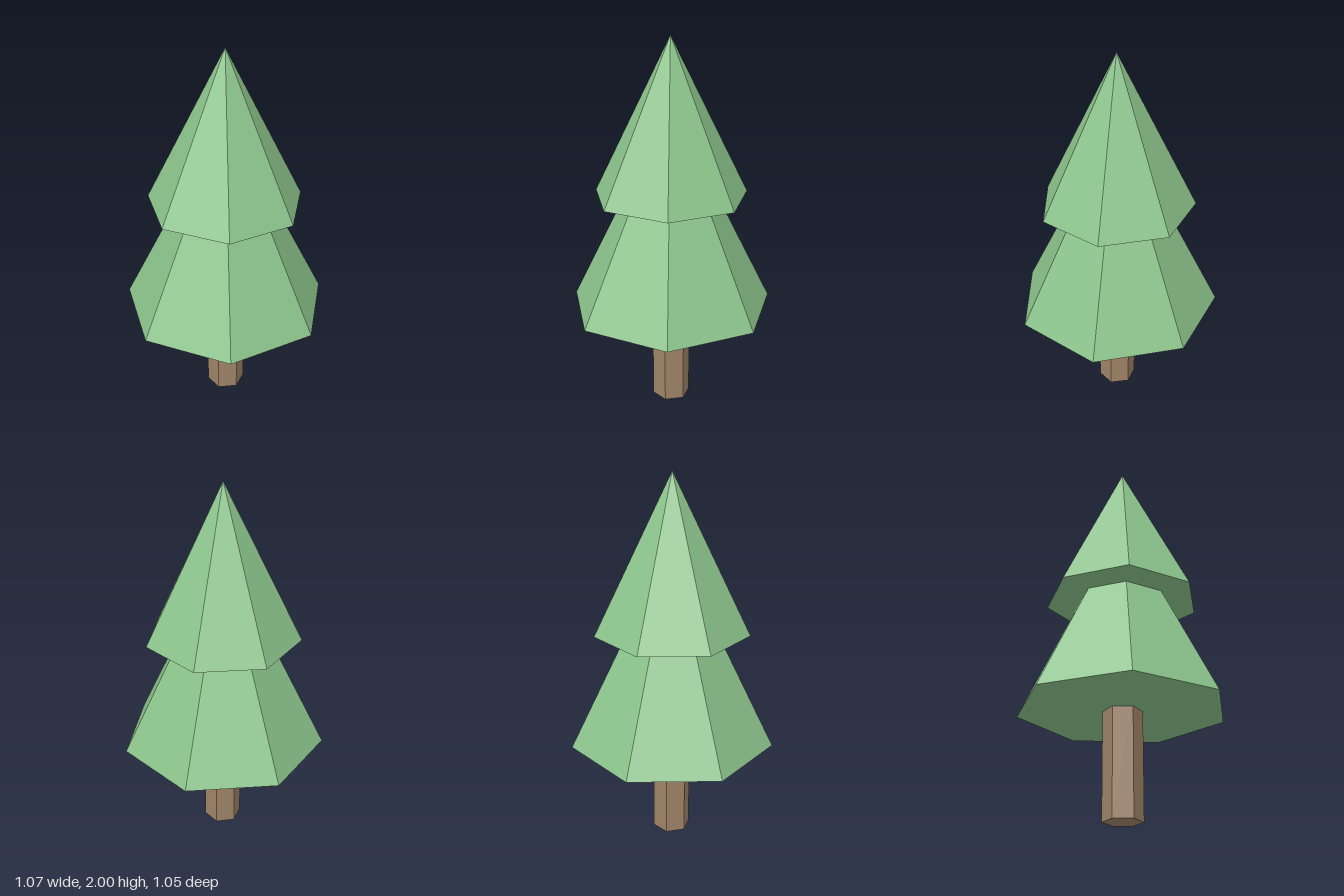
import * as THREE from 'three';

const CENTER_Z = 0.026;

export function createModel() {
  const tree = new THREE.Group();
  tree.name = 'pineTree';

  const leaves = new THREE.MeshStandardMaterial({ color: 0x8cc48c, flatShading: true });
  const bark = new THREE.MeshStandardMaterial({ color: 0xa08468, flatShading: true });

  // Hexagonal trunk, one corner facing the front
  const trunk = new THREE.Mesh(new THREE.CylinderGeometry(0.102, 0.102, 0.58, 6), bark);
  trunk.name = 'trunk';
  trunk.position.set(0, 0.29, CENTER_Z);
  tree.add(trunk);

  // Seven-sided foliage cones, one flat side facing the front
  const tiers = [
    { name: 'lowerFoliage', radius: 0.551, bottom: 0.557, height: 1.103 },
    { name: 'upperFoliage', radius: 0.412, bottom: 1.175, height: 0.825 },
  ];
  for (const { name, radius, bottom, height } of tiers) {
    const cone = new THREE.Mesh(
      new THREE.ConeGeometry(radius, height, 7, 1, false, Math.PI), leaves);
    cone.name = name;
    cone.position.set(0, bottom + height / 2, CENTER_Z);
    tree.add(cone);
  }

  return tree;
}
